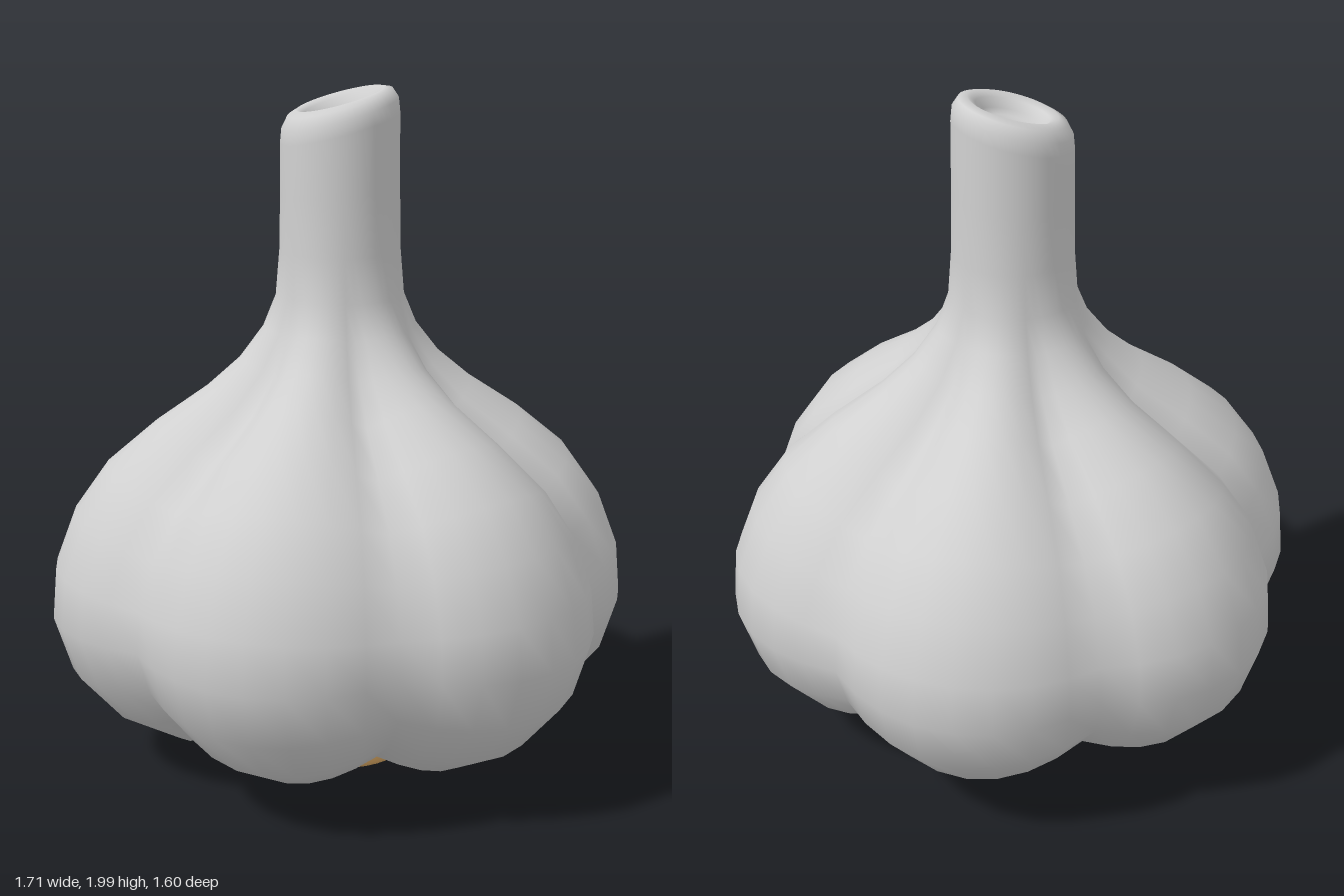
import * as THREE from 'three';
import { mergeVertices } from 'three/addons/utils/BufferGeometryUtils.js';

const skin = new THREE.MeshStandardMaterial({ color: 0xd0d0d0 });
skin.name = 'pale skin';
const root = new THREE.MeshStandardMaterial({ color: 0xe0ad66 });
root.name = 'tan root';

const lathe = (points, segments) =>
  new THREE.LatheGeometry(points.map(([r, y]) => new THREE.Vector2(r, y)), segments);

// Weld the seam and smooth the normals
function smooth(geometry) {
  geometry.deleteAttribute('uv');
  geometry.deleteAttribute('normal');
  const welded = mergeVertices(geometry, 1e-4);
  welded.computeVertexNormals();
  return welded;
}

// Bulb and stem: a lathe profile of [radius, height, groove depth]
function bulbGeometry() {
  const profile = [
    [0, 0.14, 0], [0.12, 0.12, 0.02], [0.22, 0.085, 0.045], [0.36, 0.07, 0.062],
    [0.505, 0.08, 0.08], [0.68, 0.17, 0.095], [0.805, 0.31, 0.095], [0.857, 0.47, 0.095],
    [0.845, 0.62, 0.095], [0.785, 0.78, 0.095], [0.685, 0.92, 0.095], [0.54, 1.04, 0.092],
    [0.39, 1.14, 0.075], [0.295, 1.22, 0.05], [0.225, 1.31, 0.025], [0.187, 1.4, 0.008],
    [0.175, 1.53, 0], [0.172, 1.7, 0], [0.171, 1.88, 0],
    // rounded rim and hollow tip
    [0.167, 1.92, 0], [0.15, 1.95, 0], [0.125, 1.96, 0], [0.103, 1.947, 0],
    [0.092, 1.92, 0], [0.08, 1.905, 0], [0, 1.9, 0],
  ];
  const geometry = lathe(profile, 48);
  const pos = geometry.attributes.position;
  const normal = geometry.attributes.normal;
  for (let i = 0; i < pos.count; i++) {
    // Press six grooves inward between the cloves
    const angle = Math.atan2(pos.getX(i), pos.getZ(i));
    const depth = profile[i % profile.length][2] * (1 - Math.abs(Math.sin(3 * angle)));
    const x = pos.getX(i) - normal.getX(i) * depth;
    const y = pos.getY(i) - normal.getY(i) * depth;
    const z = pos.getZ(i) - normal.getZ(i) * depth;
    // Slant the cut at the top of the stem
    pos.setXYZ(i, x, y + 0.27 * x * THREE.MathUtils.smoothstep(y, 1.6, 1.88), z);
  }
  return smooth(geometry);
}

// Root plate: flat underside with a soft edge
function rootGeometry() {
  return lathe([
    [0, 0.004], [0.185, 0.004], [0.185, 0.004], [0.195, 0], [0.207, 0.012],
    [0.213, 0.035], [0.215, 0.1], [0.2, 0.135], [0, 0.16],
  ], 32);
}

export function createModel() {
  const group = new THREE.Group();
  group.name = 'garlicBulb';
  const bulb = new THREE.Mesh(bulbGeometry(), skin);
  bulb.name = 'bulbAndStem';
  const plate = new THREE.Mesh(rootGeometry(), root);
  plate.name = 'rootPlate';
  group.add(bulb, plate);
  return group;
}
